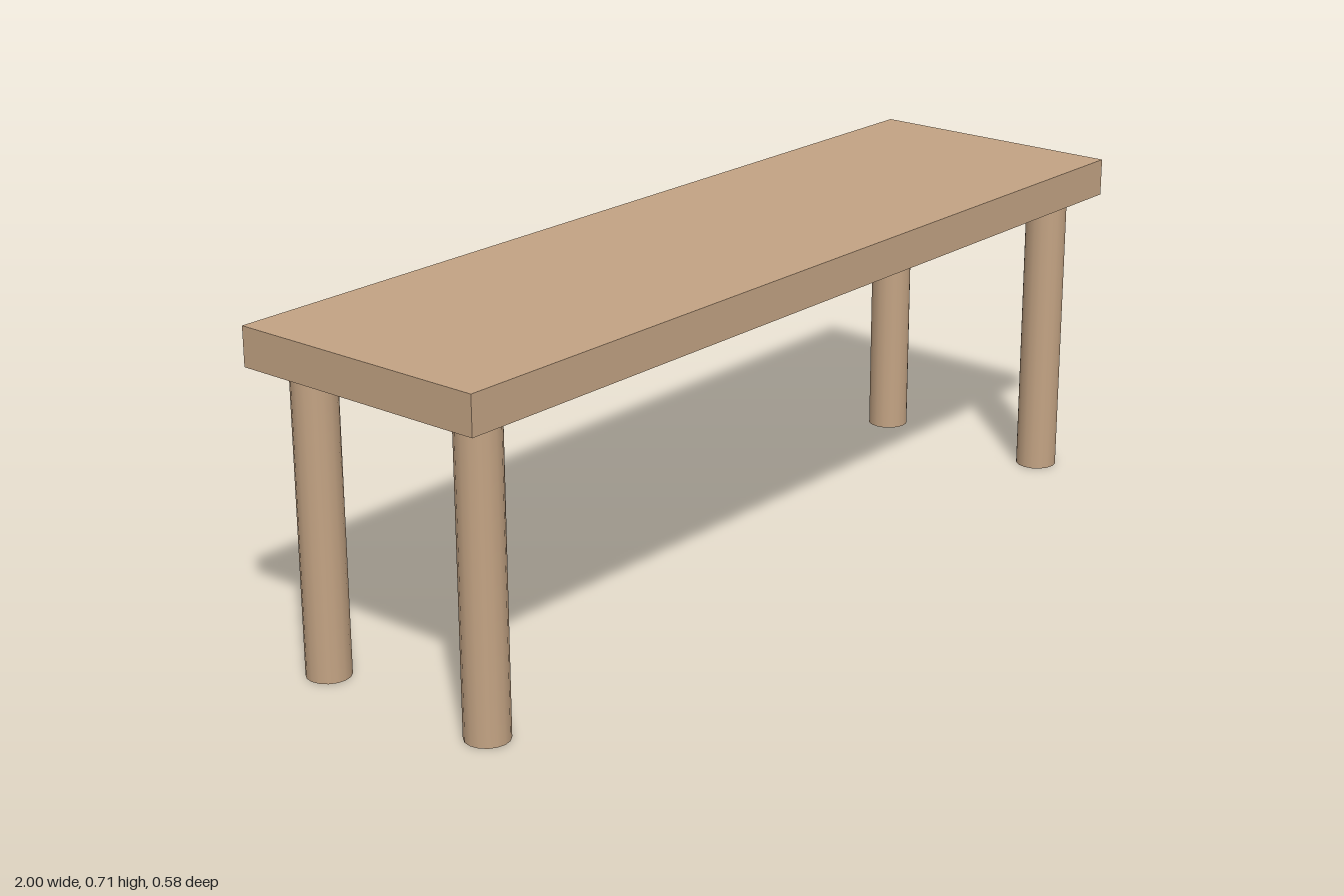
import * as THREE from 'three';

const LEG_HEIGHT = 0.63;
const TOP_THICKNESS = 0.08;

export function createModel() {
  const bench = new THREE.Group();
  bench.name = 'bench';
  const wood = new THREE.MeshStandardMaterial({ color: 0xc4a484 });

  // Flat slab seat
  const seat = new THREE.Mesh(new THREE.BoxGeometry(2, TOP_THICKNESS, 0.58), wood);
  seat.name = 'seat';
  seat.position.y = LEG_HEIGHT + TOP_THICKNESS / 2;
  bench.add(seat);

  // Four round legs, mirrored to the corners
  const legGeometry = new THREE.CylinderGeometry(0.045, 0.045, LEG_HEIGHT, 16);
  for (const [side, x] of [['Left', 0.905], ['Right', -0.905]]) {
    for (const [end, z] of [['front', 0.21], ['back', -0.21]]) {
      const leg = new THREE.Mesh(legGeometry, wood);
      leg.name = `${end}${side}Leg`;
      leg.position.set(x, LEG_HEIGHT / 2, z);
      bench.add(leg);
    }
  }
  return bench;
}
